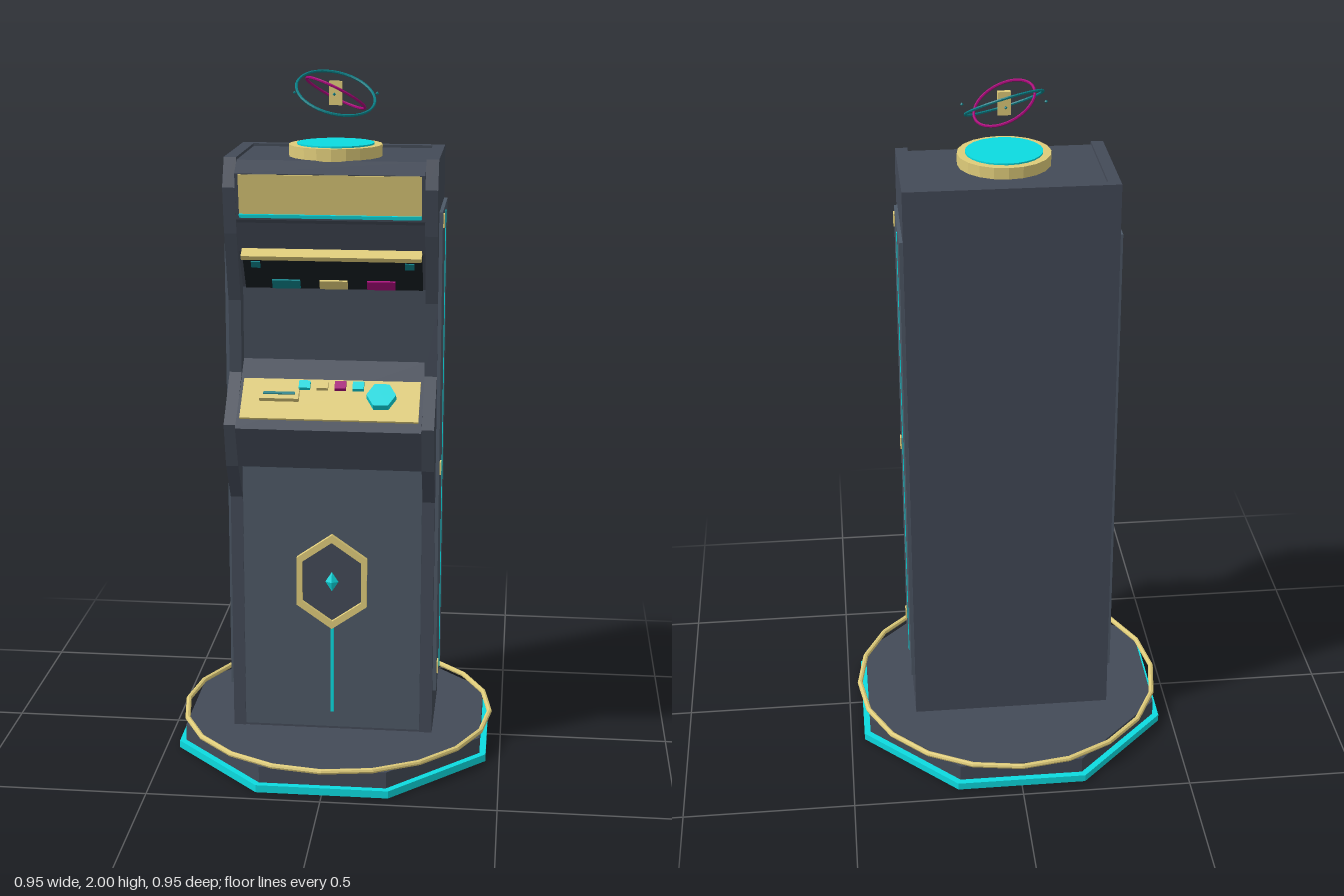
import * as THREE from 'three';

const mat = (color) => new THREE.MeshStandardMaterial({ color, flatShading: true });

export function createModel() {
  const root = new THREE.Group();
  root.name = 'arcadeKiosk';
  const body = mat(0x434a57), panel = mat(0x4d5866), dark = mat(0x151c20);
  const gold = mat(0xdfcc7a), cyan = mat(0x0cdbe0), teal = mat(0x0a7f86), magenta = mat(0xa8057a);

  function add(parent, name, geo, material, x = 0, y = 0, z = 0) {
    const m = new THREE.Mesh(geo, material);
    m.name = name;
    m.position.set(x, y, z);
    parent.add(m);
    return m;
  }
  const box = (w, h, d) => new THREE.BoxGeometry(w, h, d);
  const prism = (r, h, n) => new THREE.CylinderGeometry(r, r, h, n);
  const shapeOf = (pts) => new THREE.Shape(pts.map(([a, b]) => new THREE.Vector2(a, b)));
  // Side profile of [z, y] points, swept across x from x0 to x1
  function sweep(pts, x0, x1) {
    const g = new THREE.ExtrudeGeometry(shapeOf(pts), { depth: x1 - x0, bevelEnabled: false });
    return g.rotateY(-Math.PI / 2).translate(x1, 0, 0);
  }
  function tilted(name, y, z, angle) {
    const g = new THREE.Group();
    g.name = name;
    g.position.set(0, y, z);
    g.rotation.x = angle;
    root.add(g);
    return g;
  }

  // Octagonal base with its round rail
  add(root, 'baseGlow', prism(0.497, 0.022, 8).rotateY(Math.PI / 8), cyan, 0, 0.011);
  add(root, 'basePlatform', prism(0.477, 0.05, 8).rotateY(Math.PI / 8), body, 0, 0.046);
  add(root, 'baseRail', new THREE.TorusGeometry(0.465, 0.008, 8, 20).rotateX(Math.PI / 2), gold, 0, 0.076);

  // Cabinet core, back and shaped sides
  add(root, 'cabinetCore', sweep([
    [-0.135, 0.07], [0.16, 0.07], [0.16, 0.905], [0.235, 0.905], [0.285, 1.03], [0.1, 1.19],
    [0.1, 1.4], [0.17, 1.515], [0.2, 1.6], [0.21, 1.61], [0.232, 1.74], [0.185, 1.772], [-0.135, 1.772],
  ], -0.262, 0.262), body);
  add(root, 'backPanel', box(0.594, 1.71, 0.027), body, 0, 0.925, -0.1485);
  add(root, 'frontDoor', box(0.52, 0.825, 0.008), panel, 0, 0.4925, 0.162);
  const sideProfile = [
    [-0.135, 0.07], [0.162, 0.07], [0.162, 0.79], [0.235, 0.905], [0.268, 1.035], [0.147, 1.16],
    [0.147, 1.37], [0.205, 1.57], [0.226, 1.7], [0.19, 1.78], [-0.135, 1.78],
  ];
  for (const s of [-1, 1]) {
    const [x0, x1] = s > 0 ? [0.262, 0.297] : [-0.297, -0.262];
    add(root, 'cabinetSide', sweep(sideProfile, x0, x1), body);
    add(root, 'sideDoor', box(0.012, 1.43, 0.285), panel, s * 0.301, 0.913, -0.001);
    add(root, 'sideLight', box(0.004, 1.4, 0.014), cyan, s * 0.307, 0.91, -0.02);
    for (const y of [0.262, 0.88, 1.6])
      add(root, 'hinge', box(0.012, 0.038, 0.024), gold, s * 0.305, y, 0.105);
  }

  // Marquee
  const marquee = tilted('marquee', 1.683, 0.222, 0.168);
  add(marquee, 'marqueePlate', box(0.505, 0.112, 0.008), gold);
  add(marquee, 'marqueeLight', box(0.505, 0.01, 0.014), cyan, 0, -0.061, 0.002);

  // Overhanging screen with its lip and tiles
  const screen = tilted('screen', 1.457, 0.135, 0.547);
  add(screen, 'screenPanel', box(0.505, 0.13, 0.01), dark);
  add(screen, 'screenLip', box(0.505, 0.014, 0.04), gold, 0, 0.07, 0.012);
  for (const s of [-1, 1])
    add(screen, 'screenCorner', box(0.026, 0.022, 0.006), teal, s * 0.217, 0.025, 0.006);
  [teal, gold, magenta].forEach((m, i) =>
    add(screen, 'screenTile', box(0.08, 0.03, 0.008), m, (i - 1) * 0.135, -0.046, 0.007));

  // Control deck, local y is the deck normal
  const deck = tilted('controlDeck', 1.096, 0.208, 0.713);
  add(deck, 'deckPlate', box(0.505, 0.01, 0.137), gold, 0, 0.003);
  [cyan, gold, magenta, cyan].forEach((m, i) =>
    add(deck, 'deckButton', box(0.032, 0.016, 0.026), m, -0.076 + i * 0.051, 0.012, -0.044));
  add(deck, 'cardReader', box(0.112, 0.018, 0.036), gold, -0.145, 0.014, -0.008);
  add(deck, 'cardSlot', box(0.09, 0.004, 0.008), teal, -0.145, 0.024, -0.008);
  add(deck, 'hexButton', prism(0.042, 0.026, 6).rotateY(Math.PI / 6), cyan, 0.145, 0.018, -0.006);

  // Hexagonal emblem frame on the front door
  const hexagon = (k) => [[0, 0.145], [-0.103, 0.073], [-0.103, -0.073], [0, -0.145], [0.103, -0.073], [0.103, 0.073]]
    .map(([x, y]) => [x * k, y * k]);
  const frame = shapeOf(hexagon(1));
  frame.holes.push(shapeOf(hexagon(0.84)));
  add(root, 'emblemFrame', new THREE.ExtrudeGeometry(frame, { depth: 0.018, bevelEnabled: false }), gold, 0, 0.542, 0.164);
  add(root, 'emblemPlate', new THREE.ExtrudeGeometry(shapeOf(hexagon(0.85)), { depth: 0.006, bevelEnabled: false }), body, 0, 0.542, 0.164);
  add(root, 'emblemGem', new THREE.OctahedronGeometry(0.03).scale(0.65, 1, 0.4), cyan, 0, 0.542, 0.174);
  add(root, 'doorLight', box(0.01, 0.27, 0.01), cyan, 0, 0.265, 0.167);

  // Projector on the roof
  add(root, 'projectorRim', prism(0.132, 0.035, 20), gold, 0, 1.787, 0.06);
  add(root, 'projectorLens', prism(0.109, 0.006, 24), cyan, 0, 1.806, 0.06);

  // Floating rings, core and sparks
  const halo = new THREE.Group();
  halo.name = 'halo';
  halo.position.set(0, 1.945, 0.06);
  root.add(halo);
  const ring = (name, r, m, nx, ny, nz) => {
    const t = add(halo, name, new THREE.TorusGeometry(r, 0.004, 6, 40), m);
    t.quaternion.setFromUnitVectors(new THREE.Vector3(0, 0, 1), new THREE.Vector3(nx, ny, nz).normalize());
  };
  ring('outerRing', 0.112, teal, 0.25, 0.88, 0.41);
  ring('innerRing', 0.091, magenta, 0.42, 0.865, -0.27);
  add(halo, 'haloCore', box(0.036, 0.066, 0.016), gold);
  for (const s of [-1, 1]) {
    add(halo, 'spark', new THREE.OctahedronGeometry(0.005), teal, s * 0.116);
    add(halo, 'spark', new THREE.OctahedronGeometry(0.005), teal, 0, 0, s * 0.042);
  }
  return root;
}
